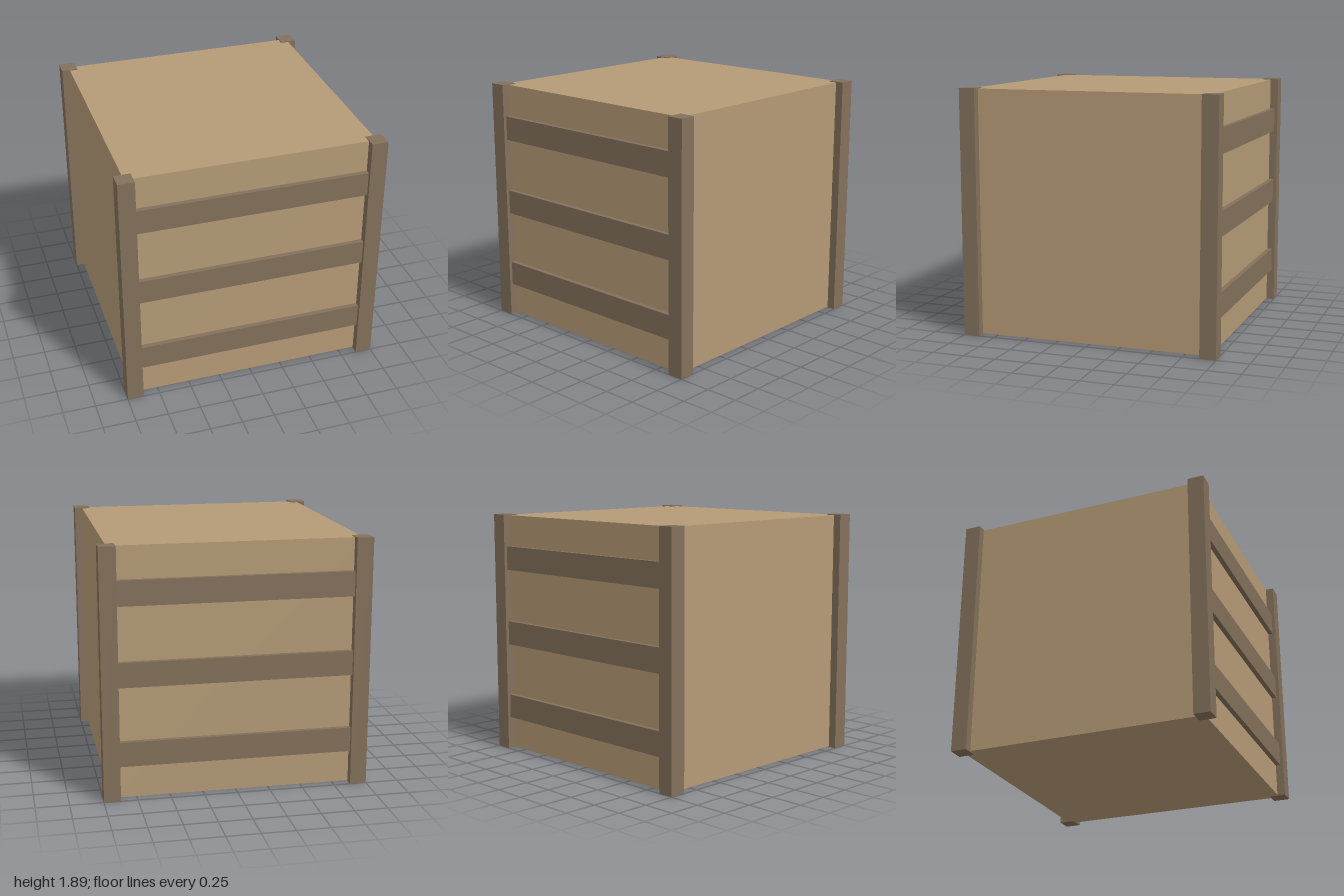
import * as THREE from 'three';

export function createModel() {
  const group = new THREE.Group();
  const lightWood = new THREE.MeshStandardMaterial({ name: 'lightWood', color: 0xb59a76 });
  const darkWood = new THREE.MeshStandardMaterial({ name: 'darkWood', color: 0x83705a });

  function box(name, material, size, position) {
    const mesh = new THREE.Mesh(new THREE.BoxGeometry(...size), material);
    mesh.name = name;
    mesh.position.set(...position);
    group.add(mesh);
  }

  const height = 1.894; // corner posts
  const inset = 0.9375; // half width of the crate body
  const post = 0.125;
  const slatDepth = 0.0375;

  // Crate body, a hair shorter than the posts
  box('crateBody', lightWood, [inset * 2, height - 0.0125, inset * 2], [0, height / 2, 0]);

  for (const z of [1, -1]) {
    const end = z > 0 ? 'front' : 'back';
    // Corner posts
    for (const x of [1, -1]) {
      box(end + (x > 0 ? 'Left' : 'Right') + 'Post', darkWood,
        [post, height, post], [x * inset, height / 2, z * inset]);
    }
    // Horizontal slats between the posts
    [0.35, 0.95, 1.55].forEach((y, i) => {
      box(end + 'Slat' + (i + 1), darkWood,
        [inset * 2 - post, 0.1875, slatDepth], [0, y, z * (inset + slatDepth / 2)]);
    });
  }
  return group;
}
